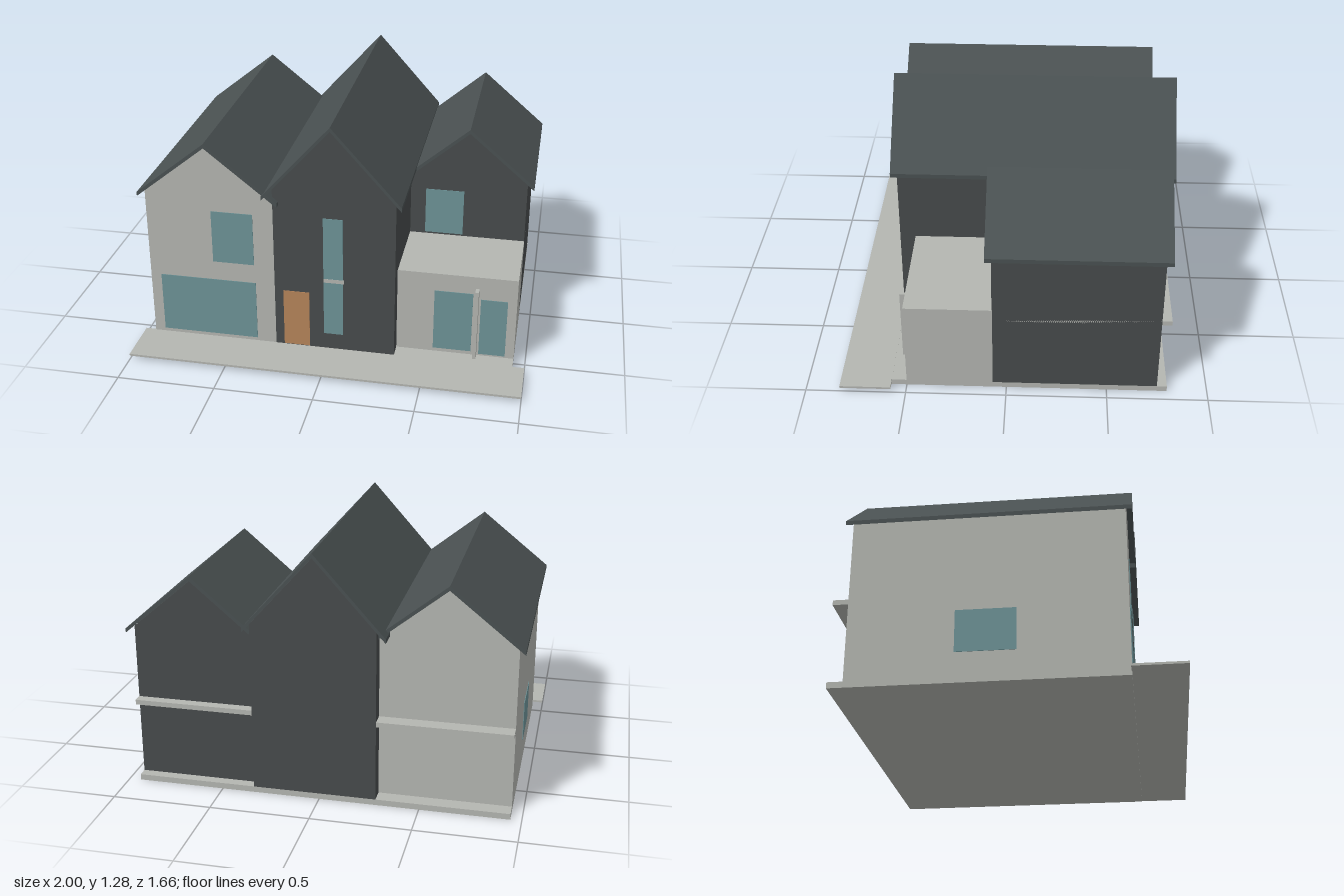
import * as THREE from 'three';

const mat = (name, color) => {
  const m = new THREE.MeshStandardMaterial({ color });
  m.name = name;
  return m;
};

export function createModel() {
  const house = new THREE.Group();
  house.name = 'house';
  const render = mat('pale render', 0xb4b6b1);
  const cladding = mat('dark cladding', 0x474b4c);
  const roofing = mat('slate roof', 0x4a5152);
  const glass = mat('glass', 0x6d9397);
  const timber = mat('timber door', 0xb6845a);

  const add = (name, geometry, material) => {
    const mesh = new THREE.Mesh(geometry, material);
    mesh.name = name;
    house.add(mesh);
    return mesh;
  };

  // Box given by its limits on each axis
  const block = (name, material, [x0, x1], [y0, y1], [z0, z1]) =>
    add(name, new THREE.BoxGeometry(x1 - x0, y1 - y0, z1 - z0), material)
      .position.set((x0 + x1) / 2, (y0 + y1) / 2, (z0 + z1) / 2);

  // Outline in x and y, extruded from z0 to z1
  const prism = (name, material, points, z0, z1) => {
    const shape = new THREE.Shape(points.map(([x, y]) => new THREE.Vector2(x, y)));
    const geometry = new THREE.ExtrudeGeometry(shape, { depth: z1 - z0, bevelEnabled: false });
    add(name, geometry.translate(0, 0, z0), material);
  };

  // Thin pane on a wall that faces the front
  const pane = (name, material, x, y, z) => block(name, material, x, y, [z - 0.002, z + 0.003]);

  // Gabled volume with a chevron roof that overhangs all round
  const wing = ({ name, wall, x: [x0, x1], z: [z0, z1], ridge: [rx, ry], eave, half }) => {
    const t = 0.022;
    const overhang = 0.03;
    const slope = (ry - eave) / half;
    const under = (x) => ry - t - Math.abs(x - rx) * slope - 0.002;
    prism(name + 'Walls', wall, [
      [x0, 0.03], [x1, 0.03], [x1, under(x1)], [rx, under(rx)], [x0, under(x0)],
    ], z0, z1);
    prism(name + 'Roof', roofing, [
      [rx - half, eave - t], [rx, ry - t], [rx + half, eave - t],
      [rx + half, eave], [rx, ry], [rx - half, eave],
    ], z0 - overhang, z1 + overhang);
  };

  // Ground slab, front paving and first floor slab that shows as a back ledge
  block('groundSlab', render, [-0.945, 0.94], [0, 0.03], [-0.8, 0.578]);
  block('frontPaving', render, [-1, 1], [0.02, 0.031], [0.575, 0.83]);
  block('firstFloorSlab', render, [-0.945, 0.94], [0.42, 0.445], [-0.799, 0]);

  // Three gabled wings
  wing({ name: 'paleWing', wall: render, x: [-0.945, -0.285], z: [-0.725, 0.579],
    ridge: [-0.616, 1.14], eave: 0.852, half: 0.36 });
  wing({ name: 'middleWing', wall: cladding, x: [-0.285, 0.335], z: [-0.8, 0.58],
    ridge: [0.015, 1.276], eave: 0.885, half: 0.35 });
  wing({ name: 'sideWing', wall: cladding, x: [0.335, 0.94], z: [-0.75, 0.07],
    ridge: [0.635, 1.106], eave: 0.816, half: 0.34 });

  // Flat-roofed front extension with a post
  block('frontExtension', render, [0.335, 0.941], [0.03, 0.485], [0.068, 0.5]);
  block('post', render, [0.732, 0.75], [0.03, 0.42], [0.5, 0.54]);

  // Front windows and doors
  pane('wideWindow', glass, [-0.89, -0.385], [0.05, 0.375], 0.579);
  pane('upperWindow', glass, [-0.605, -0.39], [0.48, 0.765], 0.579);
  pane('stairWindowLower', glass, [-0.03, 0.07], [0.12, 0.42], 0.58);
  pane('stairWindowUpper', glass, [-0.03, 0.07], [0.441, 0.78], 0.58);
  pane('stairFloorEdge', render, [-0.03, 0.075], [0.42, 0.441], 0.581);
  pane('frontDoor', timber, [-0.24, -0.105], [0.035, 0.35], 0.58);
  pane('sideWingWindow', glass, [0.415, 0.615], [0.495, 0.745], 0.07);
  pane('extensionWindow', glass, [0.525, 0.72], [0.05, 0.388], 0.5);
  pane('extensionDoor', glass, [0.76, 0.895], [0.04, 0.36], 0.5);

  // Window in the pale side wall
  block('sideWindow', glass, [-0.948, -0.943], [0.15, 0.36], [-0.22, 0.065]);

  return house;
}
